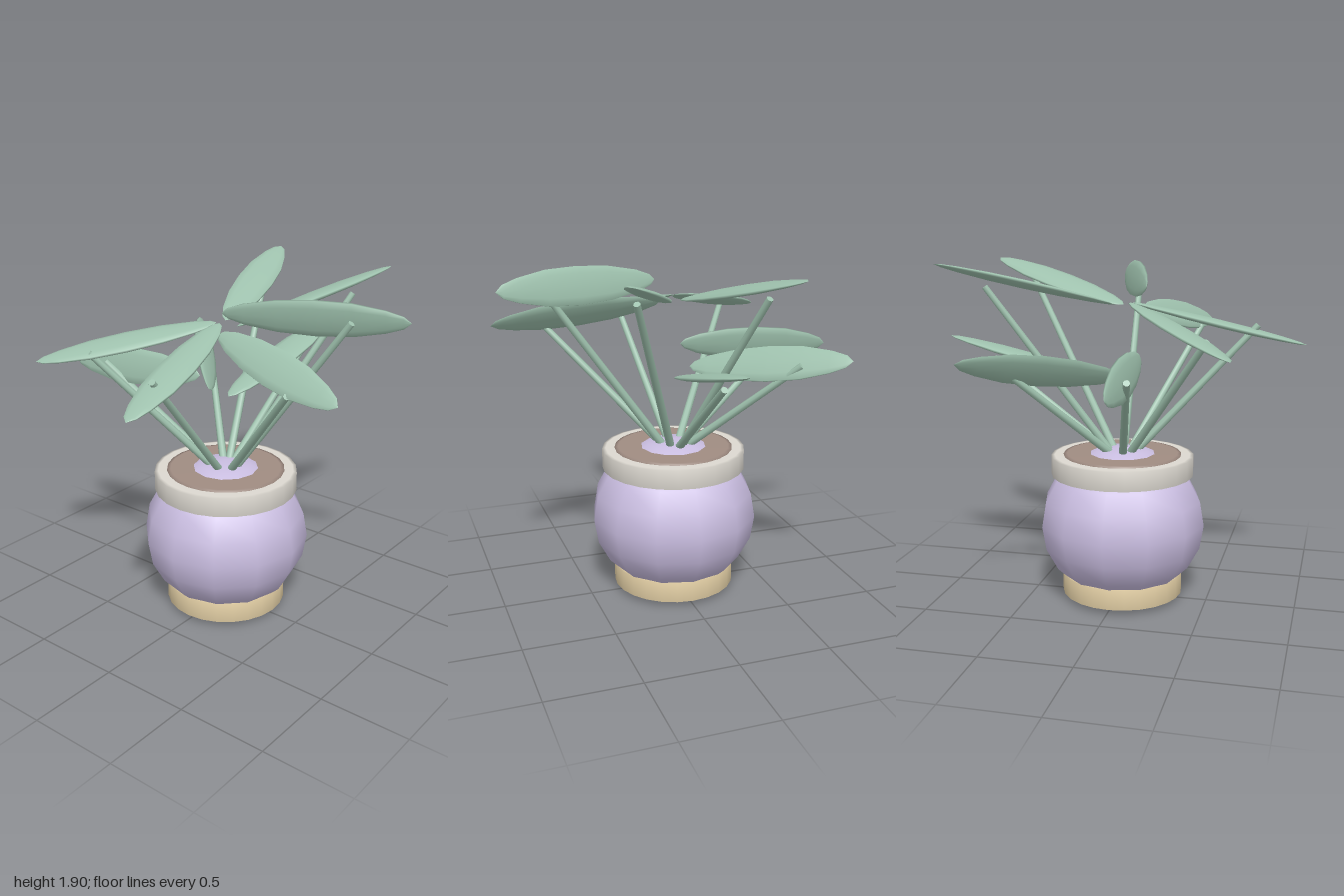
import * as THREE from 'three';

const V = (a) => new THREE.Vector3(...a);
const mat = (name, color) => Object.assign(new THREE.MeshStandardMaterial({ color }), { name });

export function createModel() {
  const plant = new THREE.Group();
  plant.name = 'pottedPlant';
  const lavender = mat('lavender', 0xc9bde0);
  const cream = mat('cream', 0xdcd8d0);
  const tan = mat('tan', 0xe3cfa5);
  const soilBrown = mat('soilBrown', 0xa08c82);
  const green = mat('leafGreen', 0x9fc2ae);

  const add = (name, geometry, material, parent = plant) => {
    const mesh = new THREE.Mesh(geometry, material);
    mesh.name = name;
    parent.add(mesh);
    return mesh;
  };

  // Pot: squashed sphere with stacked discs
  const pot = new THREE.Group();
  pot.name = 'pot';
  pot.position.set(-0.01, 0, 0.003);
  plant.add(pot);
  const body = add('potBody', new THREE.SphereGeometry(0.47, 12, 10), lavender, pot);
  body.scale.y = 0.44 / 0.47;
  body.position.y = 0.445;

  // Disc with softly shaded rim
  const disc = (name, r, y0, y1, material) => {
    const pts = [[0, y0], [r - 0.02, y0], [r, y0 + 0.003], [r, y1 - 0.003], [r - 0.02, y1], [0, y1]]
      .map(([x, y]) => new THREE.Vector2(x, y));
    add(name, new THREE.LatheGeometry(pts, 24), material, pot);
  };
  disc('potFoot', 0.342, 0.03, 0.15, tan);
  disc('potRim', 0.402, 0.723, 0.837, cream);
  disc('soil', 0.332, 0.8, 0.845, soilBrown);

  // Leaf blade: flattened lathe, y runs from base (0) to tip (1)
  const outline = [[0, 0], [0.03, 0.03], [0.12, 0.062], [0.3, 0.094], [0.5, 0.106],
    [0.7, 0.098], [0.87, 0.066], [0.96, 0.036], [1, 0]]
    .map(([y, r]) => new THREE.Vector2(r, y));
  const blade = new THREE.LatheGeometry(outline, 10);
  blade.scale(1, 1, 0.2);

  // Each leaf: base, tip, direction of its width, top of its stem
  const leaves = [
    { base: [-0.06, 1.69, -0.02], tip: [-0.70, 1.49, -0.74], across: [0.69, 0.21, -0.7], stem: [-0.55, 1.55, -0.49] },
    { base: [-0.13, 1.40, -0.08], tip: [-0.16, 1.33, -1.0], across: [0.25, 0.96, 0], stem: [-0.2, 1.37, -0.72] },
    { base: [-0.03, 1.29, -0.1], tip: [0.68, 1.43, -0.73], across: [-0.37, 0.8, -0.41], stem: [0.5, 1.38, -0.53] },
    { base: [0.03, 1.68, -0.03], tip: [0.95, 1.90, -0.32], across: [0.31, -0.2, 0.95], stem: [0.69, 1.78, -0.25] },
    { base: [0.03, 1.25, -0.01], tip: [1.0, 1.48, 0], across: [0, 0, 1], stem: [0.74, 1.36, 0] },
    { base: [0.0, 1.67, 0.07], tip: [0.87, 1.90, 0.49], across: [-0.45, 0.2, 0.89], stem: [0.62, 1.78, 0.4] },
    { base: [-0.13, 1.77, 0.07], tip: [0.20, 1.80, 0.99], across: [-0.25, 0.96, 0.09], stem: [0.05, 1.79, 0.74] },
    { base: [-0.12, 1.65, 0.04], tip: [-0.37, 1.52, 0.94], across: [0.6, 0.75, 0.28], stem: [-0.35, 1.5, 0.64] },
    { base: [-0.06, 1.69, 0.0], tip: [-1.0, 1.46, 0.2], across: [0.21, 0, 0.98], stem: [-0.74, 1.57, 0.13] },
  ];

  for (const { base, tip, across, stem } of leaves) {
    // Blade
    const along = V(tip).sub(V(base));
    const dir = along.clone().normalize();
    const w = V(across);
    w.addScaledVector(dir, -w.dot(dir)).normalize();
    const n = w.clone().cross(dir);
    const leaf = add('leaf', blade, green);
    leaf.quaternion.setFromRotationMatrix(new THREE.Matrix4().makeBasis(w, dir, n));
    leaf.position.copy(V(base));
    leaf.scale.y = along.length();

    // Straight stem rising from the soil
    const top = V(stem);
    const root = new THREE.Vector3(top.x, 0, top.z).setLength(0.05);
    root.x -= 0.01;
    root.y = 0.83;
    const rise = top.clone().sub(root);
    const stalk = add('stem', new THREE.CylinderGeometry(0.018, 0.023, rise.length(), 8), green);
    stalk.position.copy(root).add(top).multiplyScalar(0.5);
    stalk.quaternion.setFromUnitVectors(new THREE.Vector3(0, 1, 0), rise.normalize());
  }
  return plant;
}
